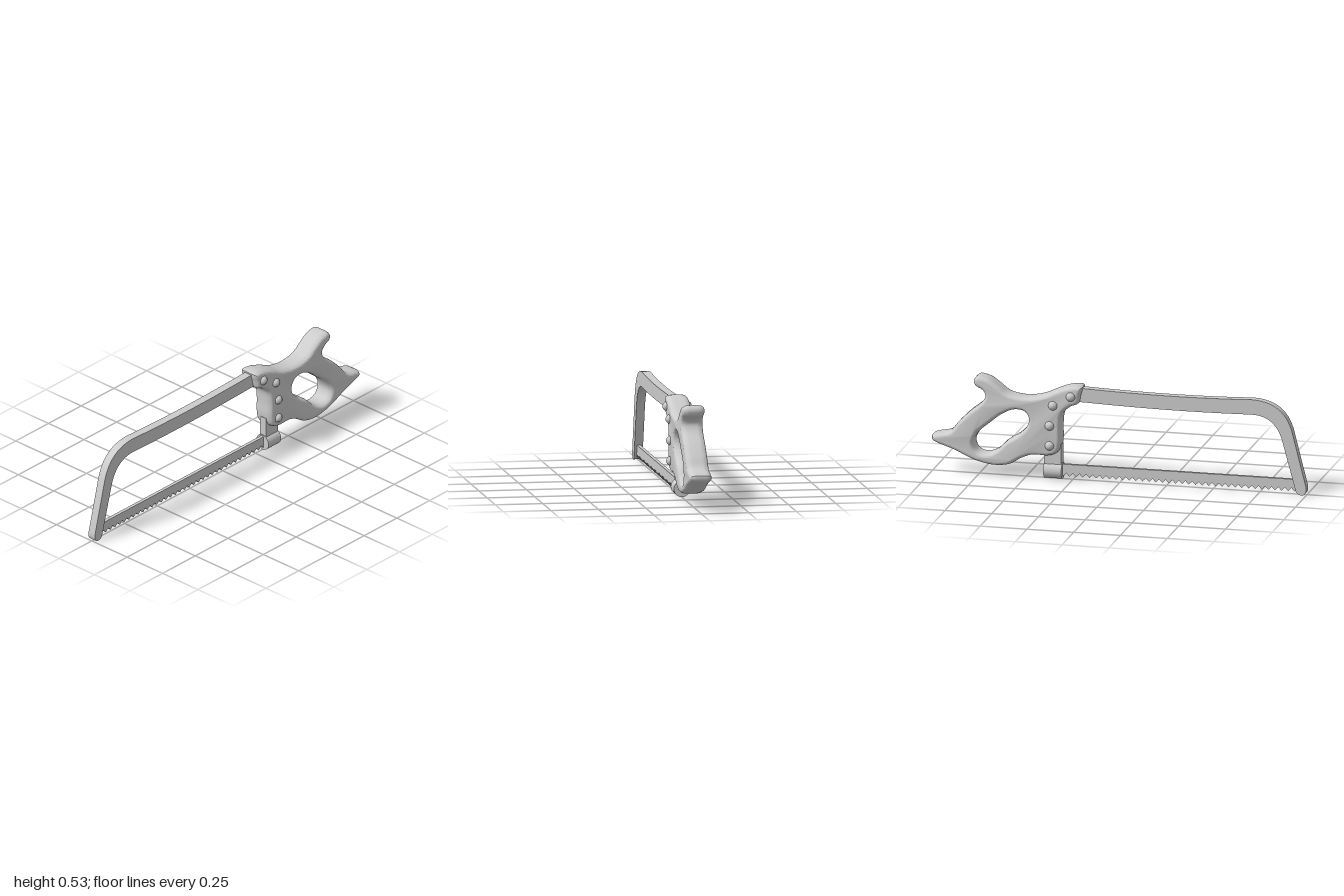
import * as THREE from 'three';
import { toCreasedNormals } from 'three/addons/utils/BufferGeometryUtils.js';

const toVectors = (pts) => pts.map(([z, y]) => new THREE.Vector2(z, y));

// Smooth closed outline through a few (z, y) points
function smoothLoop(pts, n) {
  const curve = new THREE.CatmullRomCurve3(
    pts.map(([z, y]) => new THREE.Vector3(z, y, 0)), true, 'centripetal');
  return curve.getSpacedPoints(n).slice(0, n).map((p) => new THREE.Vector2(p.x, p.y));
}

// Extrude a side profile across x, centred, with an optional rounded edge
function sidePlate(outline, halfWidth, holes = [], bevel = null) {
  const shape = new THREE.Shape(outline);
  holes.forEach((h) => shape.holes.push(new THREE.Path(h)));
  const t = bevel ? bevel.thickness : 0;
  const geo = new THREE.ExtrudeGeometry(shape, {
    depth: 2 * (halfWidth - t),
    bevelEnabled: !!bevel,
    bevelThickness: t,
    bevelSize: bevel ? bevel.size : 0,
    bevelOffset: bevel ? -bevel.size : 0,
    bevelSegments: 6,
  });
  geo.translate(0, 0, t - halfWidth);
  geo.rotateY(-Math.PI / 2);
  return toCreasedNormals(geo, 0.6);
}

export function createModel() {
  const group = new THREE.Group();
  group.name = 'hacksaw';
  const grey = new THREE.MeshStandardMaterial({ color: 0xcccccc });
  grey.name = 'grey metal';

  const add = (name, geo, x = 0, y = 0, z = 0) => {
    const mesh = new THREE.Mesh(geo, grey);
    mesh.name = name;
    mesh.position.set(x, y, z);
    group.add(mesh);
    return mesh;
  };

  // Handle with horn, tail and finger hole
  const handleOutline = smoothLoop([
    [-0.195, 0.505], [-0.225, 0.512], [-0.27, 0.505], [-0.33, 0.483], [-0.404, 0.45],
    [-0.5, 0.434], [-0.592, 0.45], [-0.64, 0.485], [-0.688, 0.518], [-0.725, 0.53],
    [-0.752, 0.532], [-0.773, 0.51], [-0.763, 0.479], [-0.728, 0.46], [-0.71, 0.432],
    [-0.726, 0.397], [-0.795, 0.338], [-0.854, 0.279], [-0.9, 0.226], [-0.965, 0.21],
    [-0.996, 0.197], [-0.994, 0.173], [-0.965, 0.158], [-0.876, 0.127], [-0.769, 0.08],
    [-0.66, 0.059], [-0.58, 0.07], [-0.517, 0.107], [-0.458, 0.128], [-0.367, 0.13],
    [-0.322, 0.153], [-0.308, 0.209], [-0.308, 0.29], [-0.297, 0.36], [-0.254, 0.4],
    [-0.215, 0.418], [-0.203, 0.46],
  ], 180);
  const fingerHole = smoothLoop([
    [-0.479, 0.325], [-0.5, 0.357], [-0.554, 0.365], [-0.619, 0.338], [-0.688, 0.284],
    [-0.753, 0.225], [-0.774, 0.172], [-0.753, 0.129], [-0.704, 0.118], [-0.651, 0.139],
    [-0.597, 0.19], [-0.528, 0.236], [-0.485, 0.285],
  ], 70);
  add('handle', sidePlate(handleOutline, 0.058, [fingerHole], { thickness: 0.035, size: 0.02 }));

  // Bowed frame, running into the handle
  const frame = new THREE.Shape();
  frame.moveTo(-0.26, 0.498);
  frame.lineTo(-0.19, 0.498);
  frame.quadraticCurveTo(0.3, 0.478, 0.71, 0.498);
  frame.bezierCurveTo(0.83, 0.496, 0.895, 0.44, 0.924, 0.343);
  frame.lineTo(1.0, 0.045);
  frame.quadraticCurveTo(1.005, 0, 0.975, 0);
  frame.quadraticCurveTo(0.95, 0, 0.943, 0.028);
  frame.lineTo(0.872, 0.29);
  frame.bezierCurveTo(0.845, 0.38, 0.79, 0.417, 0.71, 0.418);
  frame.quadraticCurveTo(0.3, 0.405, -0.19, 0.424);
  frame.lineTo(-0.26, 0.424);
  add('frame', sidePlate(frame.getPoints(12), 0.0225));

  // Tang below the handle and the round blade clamp
  add('tang', new THREE.BoxGeometry(0.045, 0.14, 0.092), 0, 0.12, -0.354);
  const clamp = new THREE.CylinderGeometry(0.043, 0.043, 0.096, 28);
  clamp.rotateX(Math.PI / 2);
  add('bladeClamp', clamp, 0, 0.044, -0.352);

  // Toothed blade
  const teeth = 36, start = -0.32, end = 0.955;
  const step = (end - start) / teeth;
  const blade = [[end, 0.08], [start, 0.08]];
  for (let i = 0; i < teeth; i++) {
    blade.push([start + i * step, 0.033], [start + (i + 0.5) * step, 0.015]);
  }
  blade.push([end, 0.033]);
  add('blade', sidePlate(toVectors(blade), 0.009));

  // Domed rivets on both sides of the handle
  const dome = new THREE.SphereGeometry(0.025, 20, 14);
  for (const [y, z] of [[0.457, -0.25], [0.404, -0.345], [0.294, -0.363], [0.187, -0.363]]) {
    for (const side of [-1, 1]) add('rivet', dome, side * 0.052, y, z);
  }
  return group;
}
